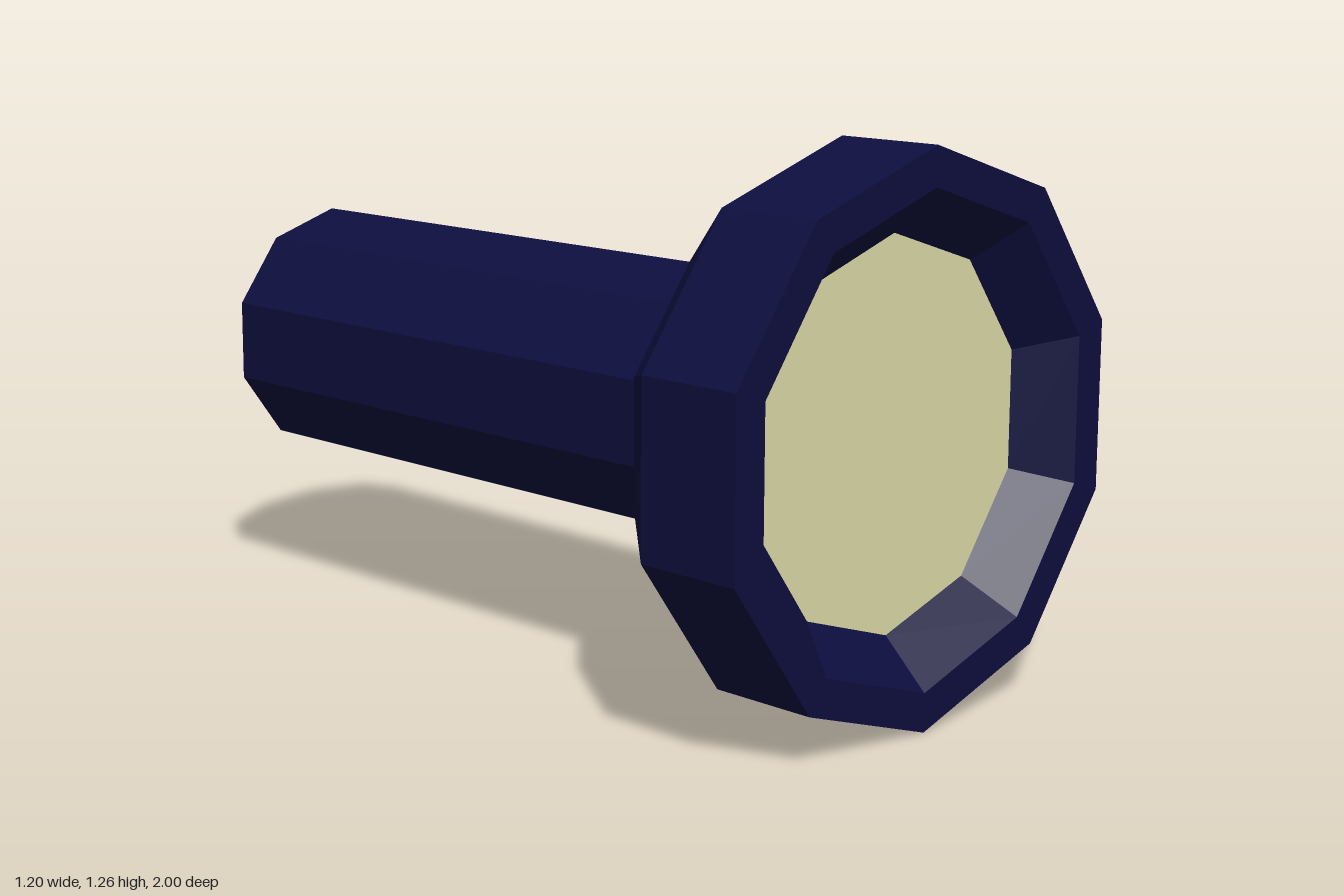
import * as THREE from 'three';

const SIDES = 10;
const CENTER_Y = 0.632;

// Turn a y-axis solid to face +z and give it crisp facets
function facet(geometry) {
  const g = geometry.rotateX(Math.PI / 2).toNonIndexed();
  g.computeVertexNormals();
  return g;
}

export function createModel() {
  const navy = new THREE.MeshStandardMaterial({ color: 0x0e0e3f });
  navy.name = 'navy casing';
  const cream = new THREE.MeshStandardMaterial({ color: 0xdcdba6 });
  cream.name = 'cream lens';

  const model = new THREE.Group();
  model.name = 'flashlight';
  const add = (name, geometry, material, z = 0) => {
    const mesh = new THREE.Mesh(geometry, material);
    mesh.name = name;
    mesh.position.set(0, CENTER_Y, z);
    model.add(mesh);
  };

  // Handle: straight ten-sided barrel with a flat back end
  add('handle', facet(new THREE.CylinderGeometry(0.312, 0.312, 1.42, SIDES)), navy, -0.29);

  // Head: flared cone, straight collar, flat rim and bevel sloping in to the lens
  const profile = [
    [0.312, 0.42], [0.458, 0.556], [0.631, 0.742],
    [0.631, 1], [0.543, 1], [0.438, 0.89],
  ].map(([r, z]) => new THREE.Vector2(r, z));
  add('head', facet(new THREE.LatheGeometry(profile, SIDES)), navy);

  // Lens: flat disc set back inside the rim
  add('lens', new THREE.CircleGeometry(0.438, SIDES, Math.PI / 2), cream, 0.89);

  return model;
}
